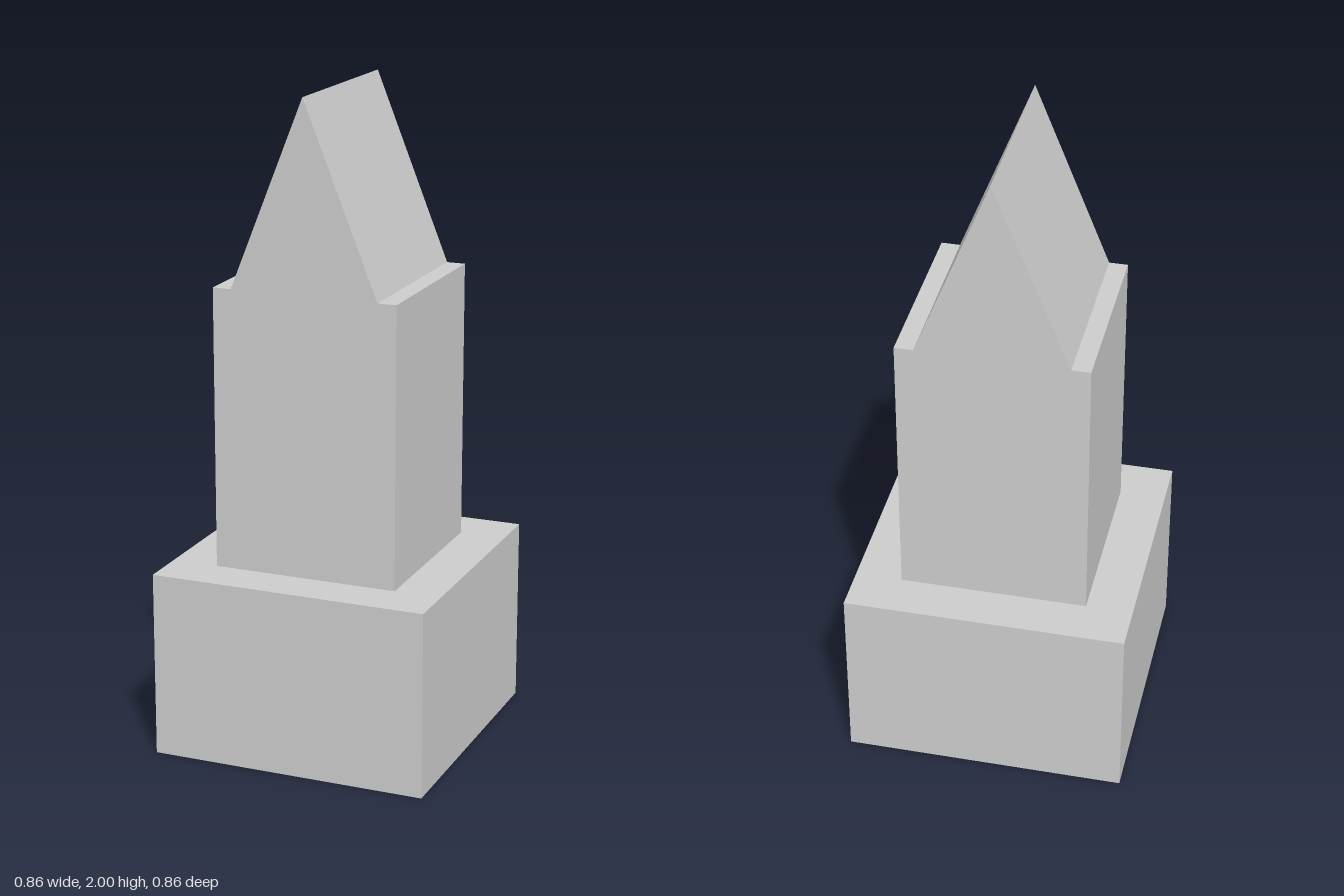
import * as THREE from 'three';

const U = 2 / 7; // base module of all proportions

export function createModel() {
  const group = new THREE.Group();
  const material = new THREE.MeshStandardMaterial({ color: 0xcccccc, flatShading: true });

  const add = (name, geometry, y) => {
    const mesh = new THREE.Mesh(geometry, material);
    mesh.name = name;
    mesh.position.y = y;
    group.add(mesh);
  };

  // Wide square plinth and the narrower shaft standing on it
  add('base', new THREE.BoxGeometry(3 * U, 2 * U, 3 * U), U);
  add('tower', new THREE.BoxGeometry(2 * U, 3 * U, 2 * U), 3.5 * U);

  // Steep gable roof, ridge running front to back, set in from the sides
  const gable = new THREE.Shape([
    new THREE.Vector2(-0.8 * U, 0),
    new THREE.Vector2(0.8 * U, 0),
    new THREE.Vector2(0, 2 * U),
  ]);
  const roof = new THREE.ExtrudeGeometry(gable, { depth: 2 * U, bevelEnabled: false });
  roof.translate(0, 0, -U);
  add('roof', roof, 5 * U);

  return group;
}
